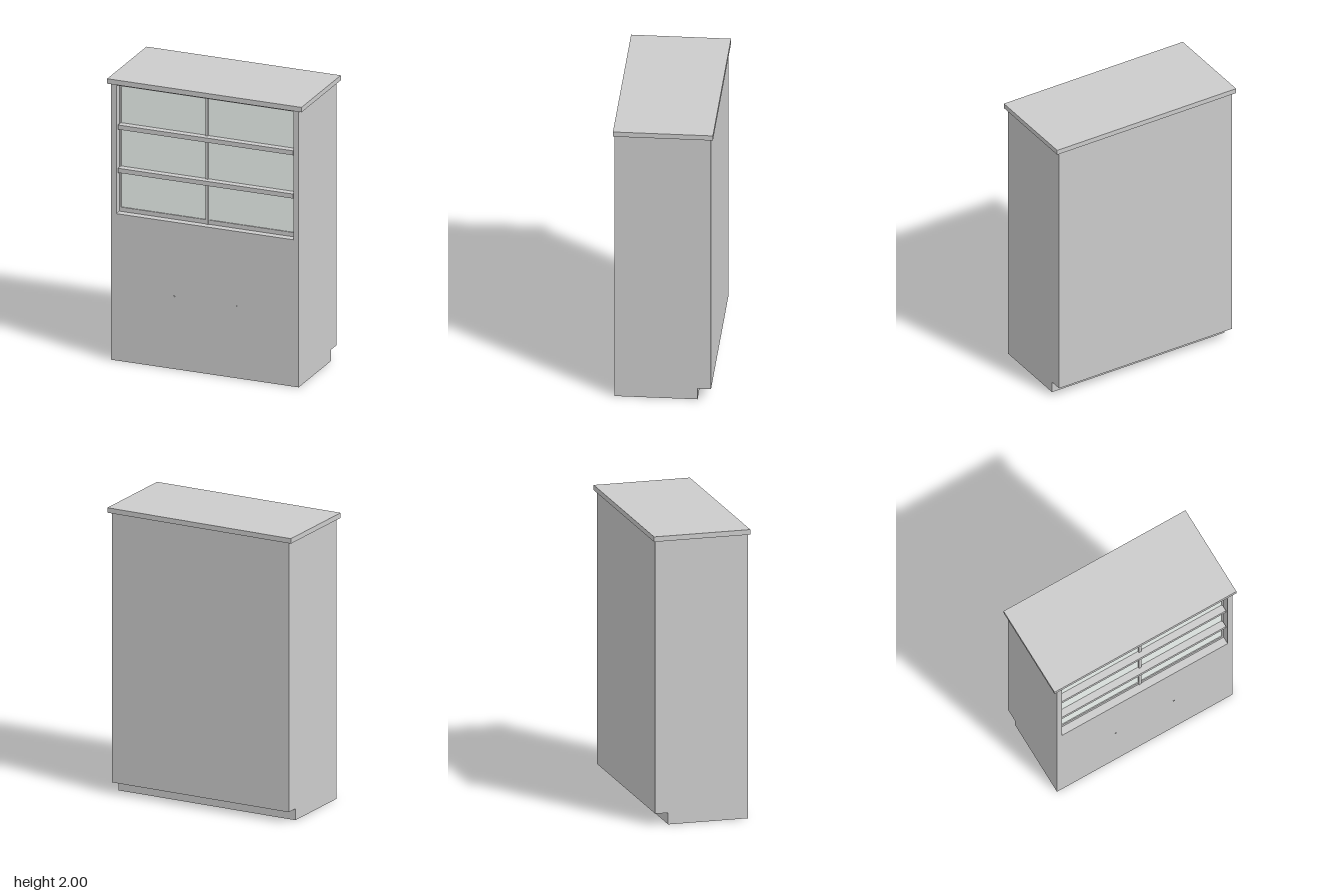
import * as THREE from 'three';

export function createModel() {
  const group = new THREE.Group();
  const grey = new THREE.MeshStandardMaterial({ color: 0xcccccc, flatShading: true });
  const glass = new THREE.MeshStandardMaterial({ color: 0xeff6f2 });

  const add = (name, geometry, material = grey) => {
    const mesh = new THREE.Mesh(geometry, material);
    mesh.name = name;
    group.add(mesh);
    return mesh;
  };
  // Box given by its limits on each axis
  const box = (name, [x0, x1], [y0, y1], [z0, z1], material) => {
    const mesh = add(name, new THREE.BoxGeometry(x1 - x0, y1 - y0, z1 - z0), material);
    mesh.position.set((x0 + x1) / 2, (y0 + y1) / 2, (z0 + z1) / 2);
    return mesh;
  };
  const trace = (path, x, y0, y1) => path.moveTo(-x, y0).lineTo(x, y0).lineTo(x, y1).lineTo(-x, y1).closePath();

  // Carcass with the display opening
  const outline = trace(new THREE.Shape(), 0.68, 0.08, 1.965);
  outline.holes.push(trace(new THREE.Path(), 0.643, 1.045, 1.958));
  const carcass = add('carcass', new THREE.ExtrudeGeometry(outline, { depth: 0.625, bevelEnabled: false }));
  carcass.position.z = -0.3;

  // Back, plinth set in at the rear, overhanging top
  box('backPanel', [-0.68, 0.68], [0.08, 1.965], [-0.32, -0.3]);
  box('plinth', [-0.68, 0.68], [0, 0.08], [-0.23, 0.325]);
  box('topSlab', [-0.705, 0.705], [1.965, 2], [-0.335, 0.335]);

  // Two sliding panes, each with a thin frame
  const panes = [
    { side: 'right', x0: -0.643, x1: -0.01 },
    { side: 'left', x0: -0.005, x1: 0.643 },
  ];
  for (const { side, x0, x1 } of panes) {
    box(side + 'Glass', [x0, x1], [1.045, 1.958], [0.255, 0.265], glass);
    box(side + 'BottomRail', [x0, x1], [1.045, 1.075], [0.25, 0.272]);
    box(side + 'TopRail', [x0, x1], [1.935, 1.958], [0.25, 0.272]);
  }
  box('meetingStile', [-0.016, 0.002], [1.045, 1.958], [0.25, 0.277]);
  for (const s of [-1, 1]) {
    const edges = [s * 0.643, s * 0.63].sort((a, b) => a - b);
    box(s < 0 ? 'rightStile' : 'leftStile', edges, [1.045, 1.958], [0.25, 0.272]);
  }

  // Shelves in front of the panes
  for (const y of [1.35, 1.658]) {
    box('shelf', [-0.636, 0.636], [y - 0.016, y + 0.016], [0.265, 0.315]);
  }

  // Small door knobs
  for (const x of [-0.225, 0.225]) {
    const knob = add('knob', new THREE.CylinderGeometry(0.007, 0.007, 0.006, 12));
    knob.rotation.x = Math.PI / 2;
    knob.position.set(x, 0.515, 0.325);
  }
  return group;
}
